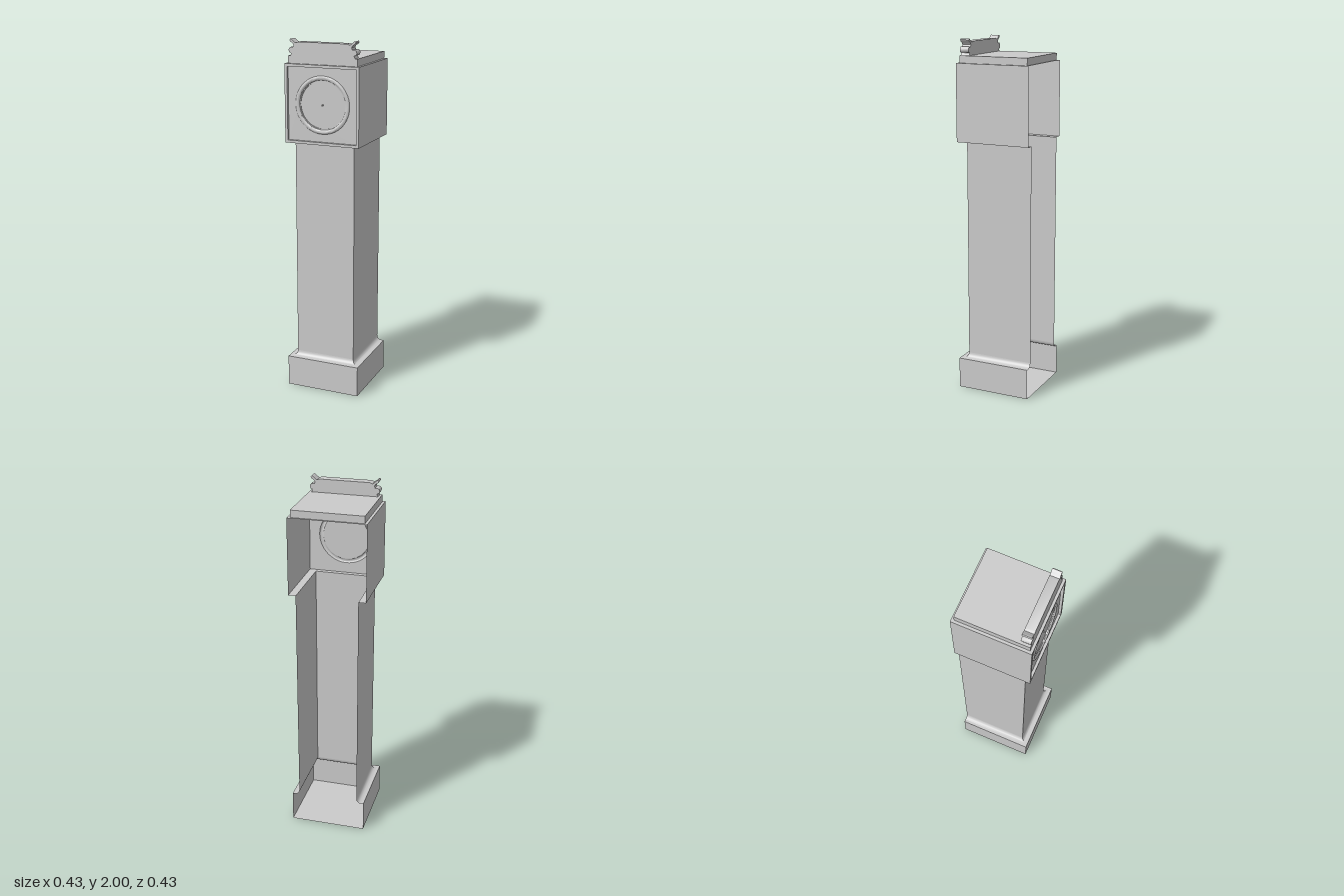
import * as THREE from 'three';
import { toCreasedNormals } from 'three/addons/utils/BufferGeometryUtils.js';

const material = new THREE.MeshStandardMaterial({ color: 0xcccccc, side: THREE.DoubleSide });
const W = 0.215;        // half width of plinth and hood
const DIAL_Y = 1.655;   // dial centre height
const PANEL_Z = 0.2;    // recessed hood front

function add(parent, name, geometry, x = 0, y = 0, z = 0) {
  const mesh = new THREE.Mesh(geometry, material);
  mesh.name = name;
  mesh.position.set(x, y, z);
  parent.add(mesh);
  return mesh;
}

// Sweeps a [half width, height] profile round the case: open at the back
// (three sides), closed (all four), or with the side walls only.
function caseShell(profile, mode = 'openBack') {
  const closed = mode === 'closed';
  const ring = ([w, y]) => {
    const back = closed ? -w : -W;
    return [[-w, y, back], [-w, y, w], [w, y, w], [w, y, back]];
  };
  const sides = { openBack: [0, 1, 2], closed: [0, 1, 2, 3], sidesOnly: [0, 2] }[mode];
  const positions = [];
  for (let i = 0; i < profile.length - 1; i++) {
    const low = ring(profile[i]), high = ring(profile[i + 1]);
    for (const s of sides) {
      const n = (s + 1) % 4;
      for (const p of [low[s], low[n], high[n], low[s], high[n], high[s]]) positions.push(...p);
    }
  }
  const geometry = new THREE.BufferGeometry();
  geometry.setAttribute('position', new THREE.Float32BufferAttribute(positions, 3));
  return toCreasedNormals(geometry, 0.6);
}

function square(Type, half) {
  const s = new Type();
  s.moveTo(-half, -half);
  s.lineTo(half, -half);
  s.lineTo(half, half);
  s.lineTo(-half, half);
  s.closePath();
  return s;
}

function horizontal(half) {
  return new THREE.PlaneGeometry(half * 2, half * 2).rotateX(-Math.PI / 2);
}

export function createModel() {
  const clock = new THREE.Group();
  clock.name = 'longcaseClock';

  // Plinth, open at the back, with its floor
  add(clock, 'plinth', caseShell([[W, 0], [W, 0.175], [0.199, 0.175]]));
  add(clock, 'floor', horizontal(W).rotateX(Math.PI));

  // Cove moulding between plinth and trunk
  const cove = [];
  for (let i = 0; i <= 6; i++) {
    const a = (i / 6) * Math.PI / 2;
    cove.push([0.199 - 0.026 * Math.sin(a), 0.203 - 0.028 * Math.cos(a)]);
  }
  add(clock, 'coveMoulding', caseShell(cove));

  // Trunk and the ledge under the hood
  add(clock, 'trunk', caseShell([[0.173, 0.203], [0.173, 1.44]]));
  add(clock, 'hoodLedge', caseShell([[0.173, 1.44], [W, 1.44]]));

  // Hood sides and stepped, hollow roof
  add(clock, 'hoodSides', caseShell([[W, 1.44], [W, 1.87]], 'sidesOnly'));
  add(clock, 'roofStep', caseShell([[W, 1.87], [0.2, 1.87], [0.2, 1.91]], 'closed'));
  add(clock, 'roofTop', horizontal(0.2), 0, 1.91, 0);

  // Hood front: a square frame round a recessed panel
  const frame = square(THREE.Shape, W);
  frame.holes.push(square(THREE.Path, 0.2));
  add(clock, 'hoodFrame',
    new THREE.ExtrudeGeometry(frame, { depth: W - PANEL_Z, bevelEnabled: false }), 0, DIAL_Y, PANEL_Z);
  const panel = square(THREE.Shape, 0.2);
  panel.holes.push(new THREE.Path().absarc(0, 0, 0.157, 0, Math.PI * 2, true));
  add(clock, 'hoodPanel', new THREE.ShapeGeometry(panel, 32), 0, DIAL_Y, PANEL_Z);

  // Dial: rounded bezel stepping down to a flat face
  const bezel = [[0.157, 0], [0.154, 0.004], [0.148, 0.006], [0.141, 0.005],
    [0.136, 0.002], [0.134, -0.003], [0.129, -0.003], [0.129, -0.008]];
  const bezelGeometry = new THREE.LatheGeometry(
    bezel.map(([r, h]) => new THREE.Vector2(r, h)).reverse(), 64).rotateX(Math.PI / 2);
  // flip the winding so that the bezel faces forward
  bezelGeometry.scale(1, 1, 1);
  add(clock, 'dialBezel', toCreasedNormals(bezelGeometry, 0.7), 0, DIAL_Y, PANEL_Z);
  add(clock, 'dialFace', new THREE.CircleGeometry(0.129, 64), 0, DIAL_Y, PANEL_Z - 0.008);
  add(clock, 'handSpindle',
    new THREE.CylinderGeometry(0.004, 0.004, 0.014, 12).rotateX(Math.PI / 2), 0, DIAL_Y, PANEL_Z - 0.001);

  // Scrolled crest, mirrored from its right-hand outline
  const flare = [[0.14, 1.985], [0.155, 1.979], [0.168, 1.988], [0.178, 1.998], [0.185, 2],
    [0.19, 1.994], [0.186, 1.986], [0.173, 1.978], [0.166, 1.967], [0.17, 1.956],
    [0.184, 1.957], [0.193, 1.95], [0.196, 1.939], [0.191, 1.928], [0.18, 1.924], [0.186, 1.91]];
  const outline = [...flare, ...flare.map(([x, y]) => [-x, y]).reverse()];
  const crest = new THREE.Shape(outline.map(([x, y]) => new THREE.Vector2(x, y)));
  add(clock, 'crest', toCreasedNormals(
    new THREE.ExtrudeGeometry(crest, { depth: 0.052, bevelEnabled: false }), 0.9), 0, 0, 0.148);

  return clock;
}
